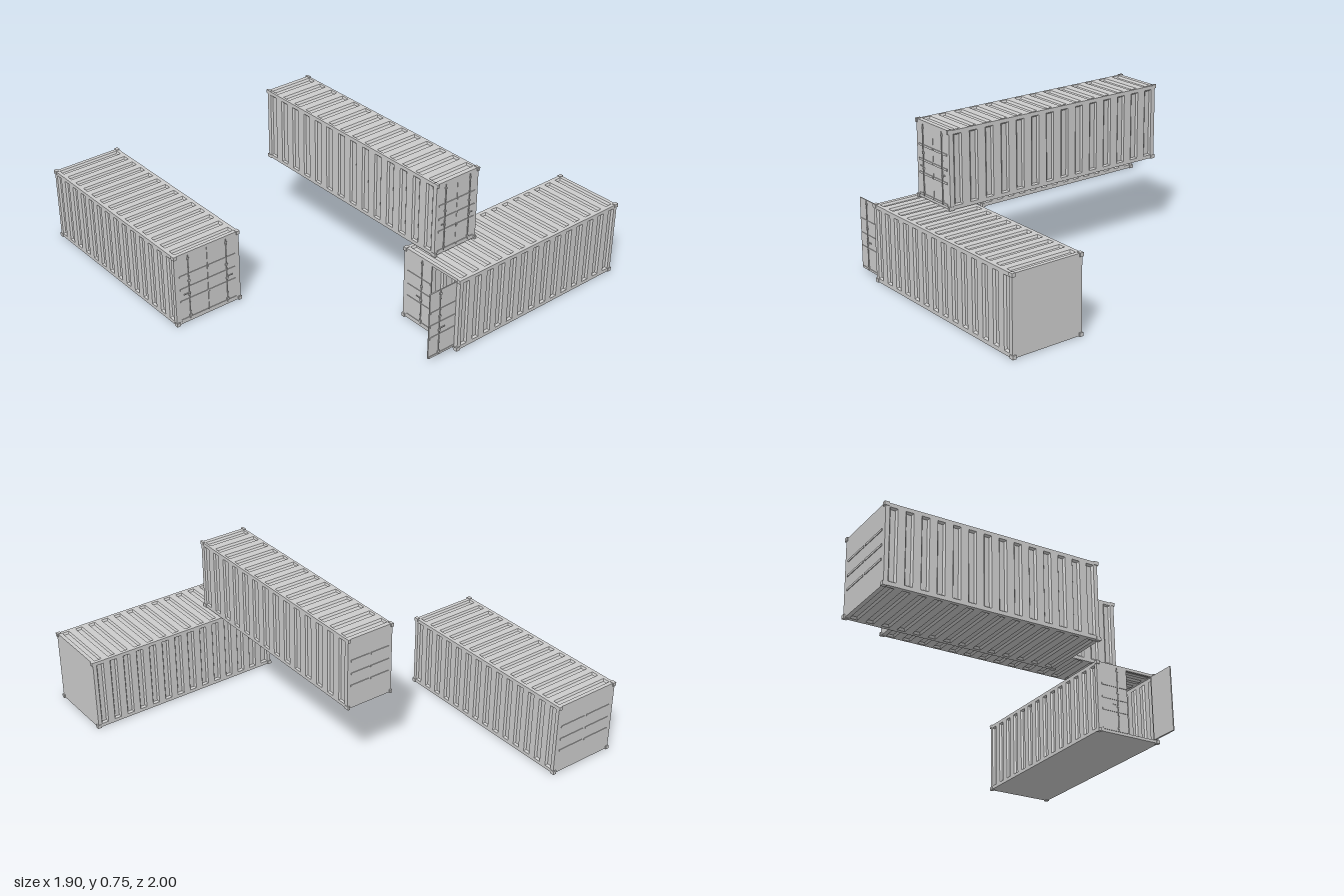
import * as THREE from 'three';
import { mergeGeometries } from 'three/addons/utils/BufferGeometryUtils.js';

const W = 0.37, H = 0.38, L = 1.045; // container size, doors at +z
const GAP = 0.003;                   // walls sit just inside the corner castings
const LEAF = 0.159, LEAF_H = 0.345;
const mat = new THREE.MeshStandardMaterial({ color: 0xcccccc, side: THREE.DoubleSide });

function add(parent, name, geo, x = 0, y = 0, z = 0) {
  const mesh = new THREE.Mesh(geo, mat);
  mesh.name = name;
  mesh.position.set(x, y, z);
  parent.add(mesh);
  return mesh;
}

const box = (parent, name, w, h, d, x, y, z) => add(parent, name, new THREE.BoxGeometry(w, h, d), x, y, z);

function rectPoints(cx, cy, w, h) {
  return [[-1, -1], [1, -1], [1, 1], [-1, 1]].map(([a, b]) => new THREE.Vector2(cx + a * w / 2, cy + b * h / 2));
}

// Pressed recess with sloping sides, open toward +z
function recess(cx, w, h, depth, slope) {
  const o = rectPoints(cx, 0, w, h).map(p => [p.x, p.y, 0]);
  const i = rectPoints(cx, 0, w - 2 * slope, h - 2 * slope).map(p => [p.x, p.y, -depth]);
  const pos = [];
  const quad = (a, b, c, d) => pos.push(...a, ...b, ...c, ...a, ...c, ...d);
  quad(...i);
  for (let k = 0; k < 4; k++) {
    const n = (k + 1) % 4;
    quad(o[k], o[n], i[n], i[k]);
  }
  const geo = new THREE.BufferGeometry();
  geo.setAttribute('position', new THREE.Float32BufferAttribute(pos, 3));
  geo.computeVertexNormals();
  return geo;
}

// Flat sheet, length along x, with 14 pressed recesses
function corrugated(height) {
  const sheet = new THREE.Shape(rectPoints(0, 0, L - 0.012, height - 2 * GAP));
  const parts = [];
  for (let k = 0; k < 14; k++) {
    const x = (k - 6.5) * 0.0736;
    sheet.holes.push(new THREE.Path(rectPoints(x, 0, 0.037, height - 0.042)));
    parts.push(recess(x, 0.037, height - 0.042, 0.01, 0.007));
  }
  const flat = new THREE.ShapeGeometry(sheet).toNonIndexed();
  flat.deleteAttribute('uv');
  return mergeGeometries([flat, ...parts]);
}

// Door leaf: origin on the hinge line, reaching toward the middle
function doorLeaf(side, rodAt) {
  const leaf = new THREE.Group();
  leaf.name = side > 0 ? 'leftDoor' : 'rightDoor';
  const mid = -side * LEAF / 2;
  box(leaf, 'doorPanel', LEAF, LEAF_H, 0.006, mid, H / 2, -0.003);
  for (const y of [0.022, 0.125, 0.19, 0.26]) {
    box(leaf, 'doorRib', LEAF - 0.008, 0.01, 0.003, mid, y, 0.0015);
  }
  // Locking rod with its keepers and handle
  const x = -side * (LEAF - rodAt);
  add(leaf, 'lockRod', new THREE.CylinderGeometry(0.0025, 0.0025, LEAF_H, 8), x, H / 2, 0.003);
  for (const y of [0.035, 0.15, 0.225, 0.345]) box(leaf, 'rodKeeper', 0.012, 0.01, 0.005, x, y, 0.003);
  box(leaf, 'lockHandle', 0.035, 0.005, 0.003, x + side * 0.014, 0.16, 0.004);
  return leaf;
}

function container(name, isOpen) {
  const group = new THREE.Group();
  group.name = name;
  const end = L / 2 - 0.006;

  // Side walls, roof and underside
  for (const s of [-1, 1]) {
    add(group, s > 0 ? 'leftWall' : 'rightWall', corrugated(H).rotateY(s * Math.PI / 2), s * (W / 2 - GAP), H / 2, 0);
  }
  add(group, 'roof', corrugated(W).rotateZ(Math.PI / 2).rotateX(-Math.PI / 2), 0, H - GAP, 0);
  if (isOpen) box(group, 'floor', W - 2 * GAP, 0.01, 2 * end, 0, GAP + 0.005, 0);
  else add(group, 'underside', corrugated(W).rotateZ(Math.PI / 2).rotateX(Math.PI / 2), 0, GAP, 0);

  // Back wall, ribbed on the closed containers
  box(group, 'backWall', W - 2 * GAP, H - 2 * GAP, 0.008, 0, H / 2, -end + 0.004);
  if (!isOpen) {
    for (const s of [-1, 1]) for (const y of [0.125, 0.19, 0.26]) {
      box(group, 'backRib', 0.15, 0.01, 0.003, s * 0.082, y, -end - 0.0015);
    }
  }

  // Door frame
  const frame = new THREE.Shape(rectPoints(0, 0, W - 2 * GAP, H - 2 * GAP));
  frame.holes.push(new THREE.Path(rectPoints(0, 0, 2 * LEAF + 0.002, LEAF_H)));
  add(group, 'doorFrame', new THREE.ExtrudeGeometry(frame, { depth: 0.012, bevelEnabled: false }), 0, H / 2, end - 0.012);

  // Doors, the left one swung out on the open container
  for (const s of [-1, 1]) {
    const leaf = doorLeaf(s, isOpen ? 0.06 : 0.105);
    leaf.position.set(s * (LEAF + 0.001), 0, end);
    if (isOpen && s > 0) leaf.rotation.y = Math.PI / 2;
    group.add(leaf);
  }

  // Corner castings
  for (const x of [-1, 1]) for (const y of [0, 1]) for (const z of [-1, 1]) {
    box(group, 'cornerCasting', 0.018, 0.018, 0.022,
      x * (W / 2 - 0.009), y ? H - 0.009 : 0.009, z * (L / 2 - 0.011));
  }
  return group;
}

export function createModel() {
  const model = new THREE.Group();
  model.name = 'shippingContainers';

  const lone = container('loneContainer', false);
  lone.position.set(-0.77, 0, -0.4775);

  const stacked = container('stackedContainer', false);
  stacked.scale.set(0.7, 0.985, 1.172);
  stacked.position.set(0.08, H, 0.1775);

  const open = container('openContainer', true);
  open.rotation.y = -Math.PI / 2;
  open.position.set(0.4275, 0, 0.815);

  model.add(lone, stacked, open);
  return model;
}
